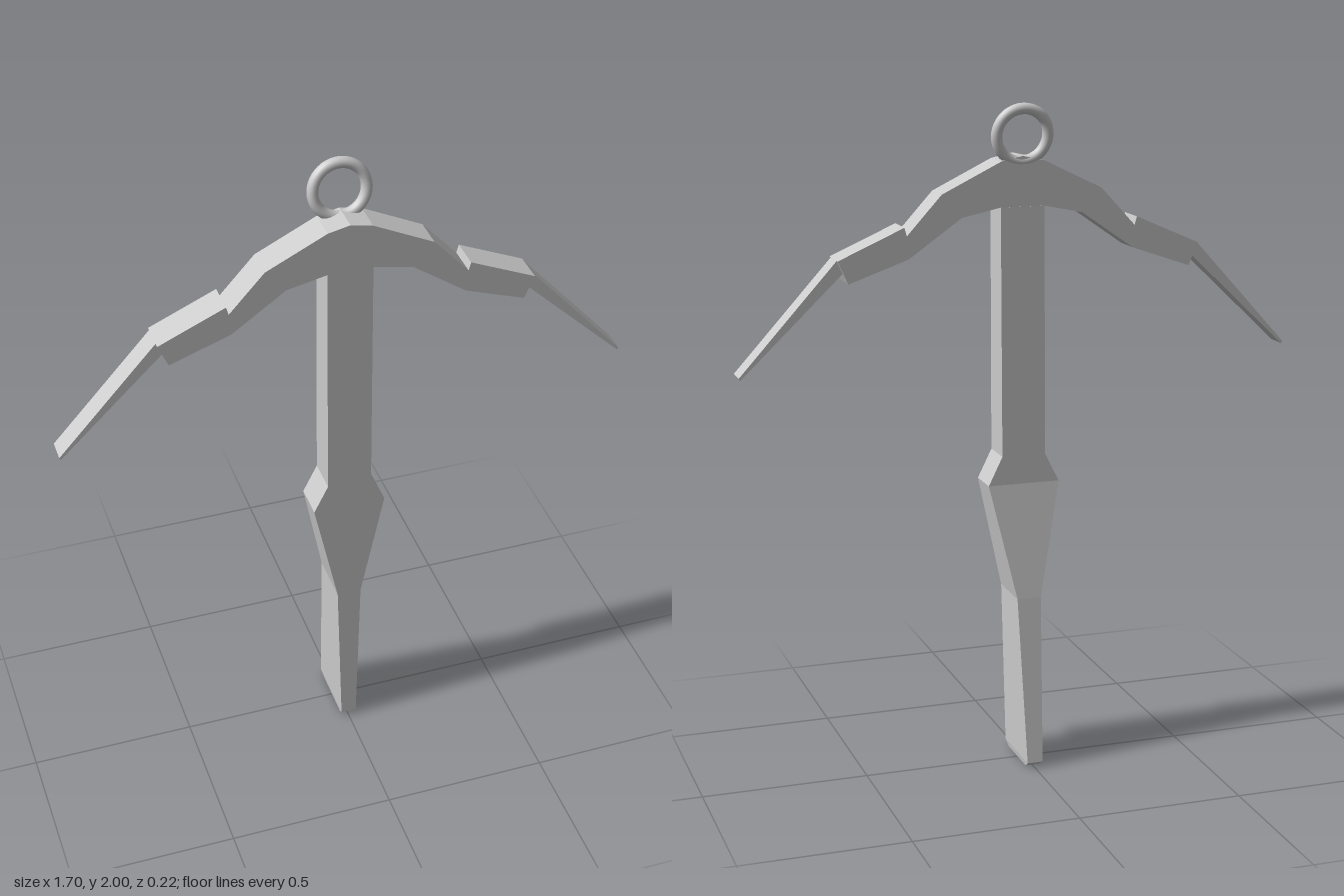
import * as THREE from 'three';

const material = new THREE.MeshStandardMaterial({ color: 0xcccccc, flatShading: true });
const smooth = new THREE.MeshStandardMaterial({ color: 0xcccccc });

// Flat outline extruded between two depths
function slab(name, points, zBack, zFront) {
  const shape = new THREE.Shape(points.map(([x, y]) => new THREE.Vector2(x, y)));
  const geometry = new THREE.ExtrudeGeometry(shape, { depth: zFront - zBack, bevelEnabled: false });
  geometry.translate(0, 0, zBack);
  const mesh = new THREE.Mesh(geometry, material);
  mesh.name = name;
  return mesh;
}

// Rectangular sections [y, halfWidth, zBack, zFront], listed bottom to top
function loft(name, rows) {
  const positions = [];
  const index = [];
  for (const [y, w, b, f] of rows) positions.push(-w, y, f, w, y, f, w, y, b, -w, y, b);
  for (let i = 0; i < rows.length - 1; i++) {
    for (let k = 0; k < 4; k++) {
      const a = i * 4 + k, c = i * 4 + (k + 1) % 4;
      index.push(a, c, c + 4, a, c + 4, a + 4);
    }
  }
  const t = (rows.length - 1) * 4;
  index.push(0, 3, 2, 0, 2, 1, t, t + 1, t + 2, t, t + 2, t + 3);
  const geometry = new THREE.BufferGeometry();
  geometry.setAttribute('position', new THREE.Float32BufferAttribute(positions, 3));
  geometry.setIndex(index);
  const flat = geometry.toNonIndexed();
  flat.computeVertexNormals();
  const mesh = new THREE.Mesh(flat, material);
  mesh.name = name;
  return mesh;
}

export function createModel() {
  const group = new THREE.Group();
  group.name = 'grapplingHook';

  // Shaft, flaring at the shoulder and deepening toward the foot
  group.add(loft('shaft', [
    [0, 0.021, -0.078, 0.083],
    [0.018, 0.024, -0.107, 0.108],
    [0.525, 0.037, -0.05, 0.108],
    [0.87, 0.11, 0, 0.108],
    [0.957, 0.067, 0.001, 0.108],
    [1.70, 0.067, 0.01, 0.108],
  ]));

  // Crossbar outline: one half, then mirrored
  const top = [[0.065, 1.833], [0.245, 1.745], [0.35, 1.63], [0.357, 1.655], [0.555, 1.568]];
  const under = [[0.525, 1.5], [0.345, 1.563], [0.185, 1.675], [0.067, 1.70]];
  const half = [...top, ...under];
  const mirrored = half.map(([x, y]) => [-x, y]).reverse();
  group.add(slab('crossbar', [[0, 1.847], ...half, ...mirrored], 0.011, 0.108));

  // Thin tapering spikes on both ends
  for (const side of [1, -1]) {
    const outline = [[0.555, 1.568], [0.848, 1.245], [0.844, 1.238], [0.538, 1.53]];
    group.add(slab(side > 0 ? 'leftSpike' : 'rightSpike',
      outline.map(([x, y]) => [x * side, y]), 0.022, 0.092));
  }

  // Leaning rope ring
  const ring = new THREE.Mesh(new THREE.TorusGeometry(0.078, 0.0165, 16, 48), smooth);
  ring.name = 'ring';
  ring.position.set(0, 1.907, 0.014);
  ring.rotation.x = -0.15;
  group.add(ring);

  return group;
}
